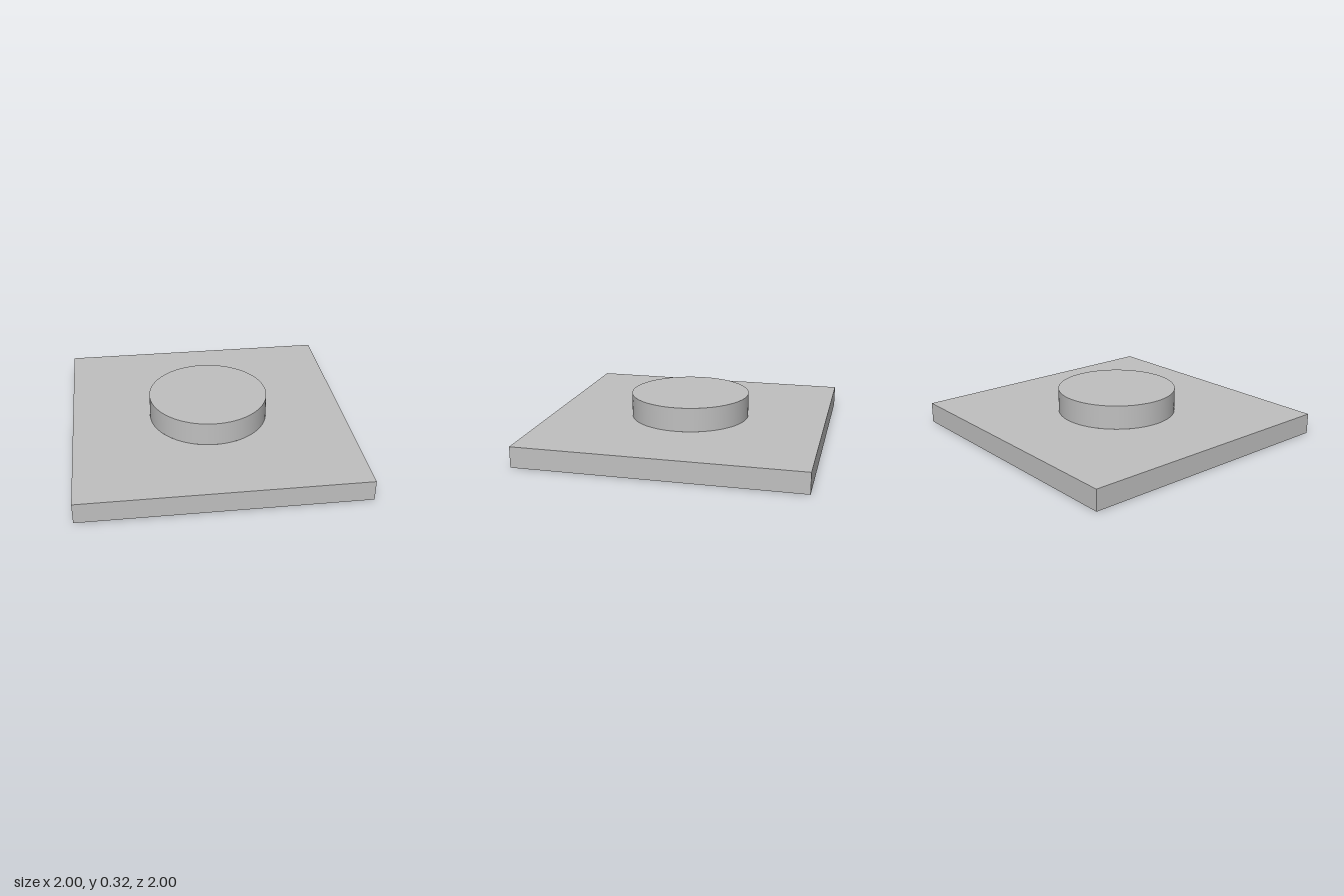
import * as THREE from 'three';

const PLATE_H = 0.148, TOP = 0.32, BOSS_R = 0.431;
const SLOT_W = 0.345, SLOT_L = 1.37, SLOT_D = 0.074;
const SEGMENTS = 96;

// Box standing on y = 0 with only the chosen sides (0..5 = +x -x +y -y +z -z)
function boxSides(w, h, d, sides, inward = false) {
  const geo = new THREE.BoxGeometry(w, h, d).translate(0, h / 2, 0);
  const all = Array.from(geo.index.array);
  const index = sides.flatMap((s) => all.slice(s * 6, s * 6 + 6));
  if (inward) index.reverse();
  geo.setIndex(index);
  geo.clearGroups();
  geo.computeVertexNormals();
  return geo;
}

function rectangle(w, d, Type = THREE.Shape) {
  return new Type([[-1, -1], [1, -1], [1, 1], [-1, 1]]
    .map(([x, y]) => new THREE.Vector2(x * w / 2, y * d / 2)));
}

export function createModel() {
  const group = new THREE.Group();
  const grey = new THREE.MeshStandardMaterial({ color: 0xc0c0c0 });
  grey.name = 'grey';

  const add = (name, geometry, parent) => {
    const mesh = new THREE.Mesh(geometry, grey);
    mesh.name = name;
    parent.add(mesh);
  };

  // Square base plate
  const plate = new THREE.Group();
  plate.name = 'basePlate';
  group.add(plate);
  add('plateSides', boxSides(2, PLATE_H, 2, [0, 1, 4, 5]), plate);

  const topShape = rectangle(2, 2);
  topShape.holes.push(new THREE.Path().absarc(0, 0, BOSS_R, 0, Math.PI * 2, true));
  add('plateTop', new THREE.ShapeGeometry(topShape, SEGMENTS)
    .rotateX(-Math.PI / 2).translate(0, PLATE_H, 0), plate);

  // Underside with a blind slot running front to back
  const bottomShape = rectangle(2, 2);
  bottomShape.holes.push(rectangle(SLOT_W, SLOT_L, THREE.Path));
  add('plateUnderside', new THREE.ShapeGeometry(bottomShape).rotateX(Math.PI / 2), plate);
  add('slot', boxSides(SLOT_W, SLOT_D, SLOT_L, [0, 1, 2, 4, 5], true), plate);

  // Round boss on top
  const boss = new THREE.Group();
  boss.name = 'boss';
  group.add(boss);
  add('bossSide', new THREE.CylinderGeometry(BOSS_R, BOSS_R, TOP - PLATE_H, SEGMENTS, 1, true)
    .translate(0, (TOP + PLATE_H) / 2, 0), boss);
  add('bossTop', new THREE.CircleGeometry(BOSS_R, SEGMENTS)
    .rotateX(-Math.PI / 2).translate(0, TOP, 0), boss);

  return group;
}
